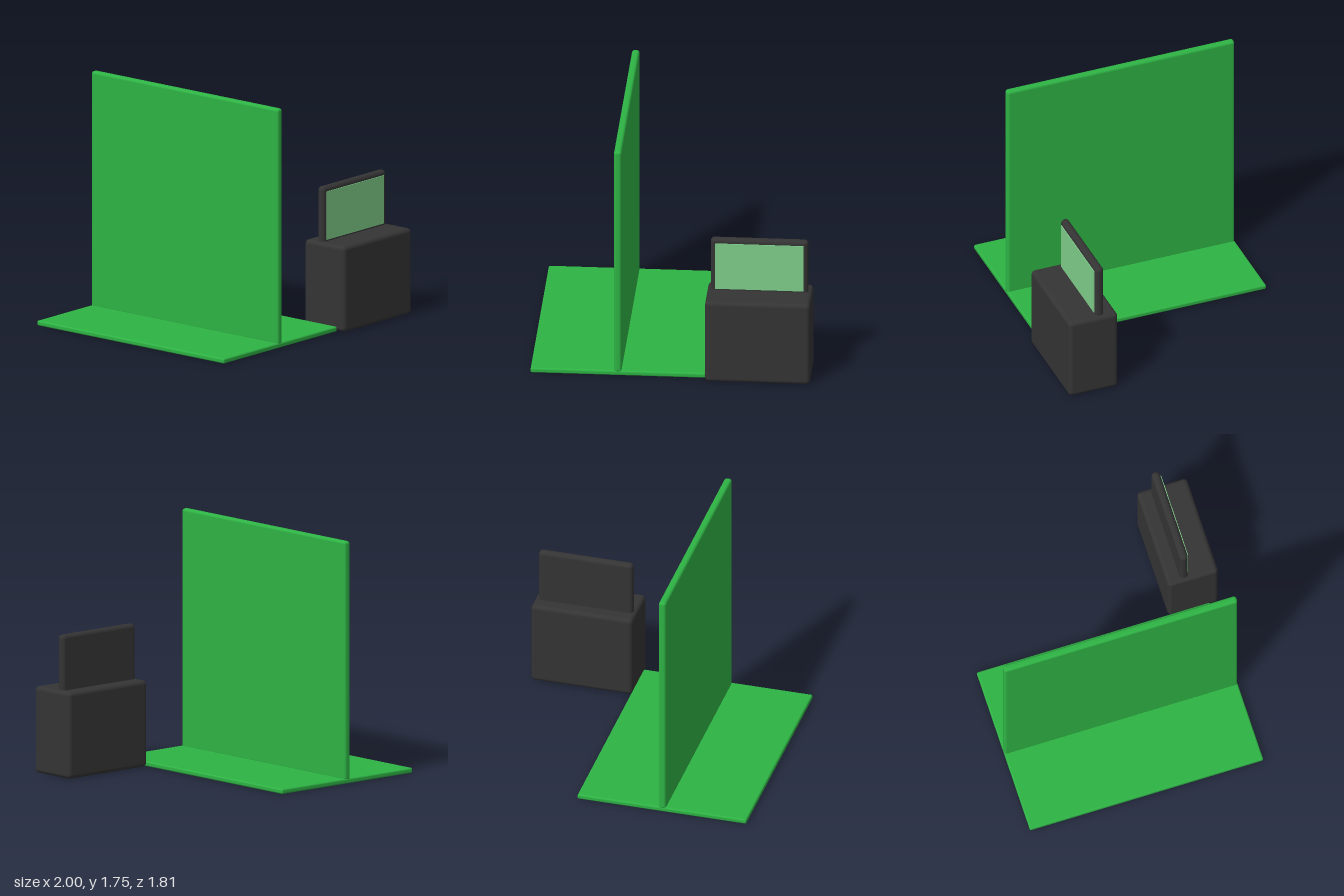
import * as THREE from 'three';
import { RoundedBoxGeometry } from 'three/addons/geometries/RoundedBoxGeometry.js';

const material = (name, color) => {
  const m = new THREE.MeshStandardMaterial({ color });
  m.name = name;
  return m;
};

export function createModel() {
  const model = new THREE.Group();
  model.name = 'screenStudio';

  const green = material('backdropGreen', 0x2eb344);
  const dark = material('charcoal', 0x343434);
  const pale = material('paleGreen', 0x7fce8a);

  // Box given by its extents on each axis; a radius rounds its edges
  const addBox = (name, mat, [x0, x1], [y0, y1], [z0, z1], radius = 0) => {
    const size = [x1 - x0, y1 - y0, z1 - z0];
    const geometry = radius
      ? new RoundedBoxGeometry(...size, 4, radius)
      : new THREE.BoxGeometry(...size);
    const mesh = new THREE.Mesh(geometry, mat);
    mesh.name = name;
    mesh.position.set((x0 + x1) / 2, (y0 + y1) / 2, (z0 + z1) / 2);
    model.add(mesh);
  };

  // Green floor and the upright wall standing on it
  addBox('floorPanel', green, [-1, 0.25], [0, 0.037], [-0.905, 0.84], 0.012);
  addBox('wallPanel', green, [-0.405, -0.35], [0.022, 1.755], [-0.905, 0.84], 0.02);

  // Console block with a monitor set into its top
  addBox('console', dark, [0.25, 1], [0, 0.627], [0.53, 0.905], 0.03);
  addBox('monitorFrame', dark, [0.275, 0.972], [0.56, 1.027], [0.628, 0.689], 0.028);
  addBox('monitorScreen', pale, [0.308, 0.938], [0.638, 0.992], [0.687, 0.695]);

  return model;
}
